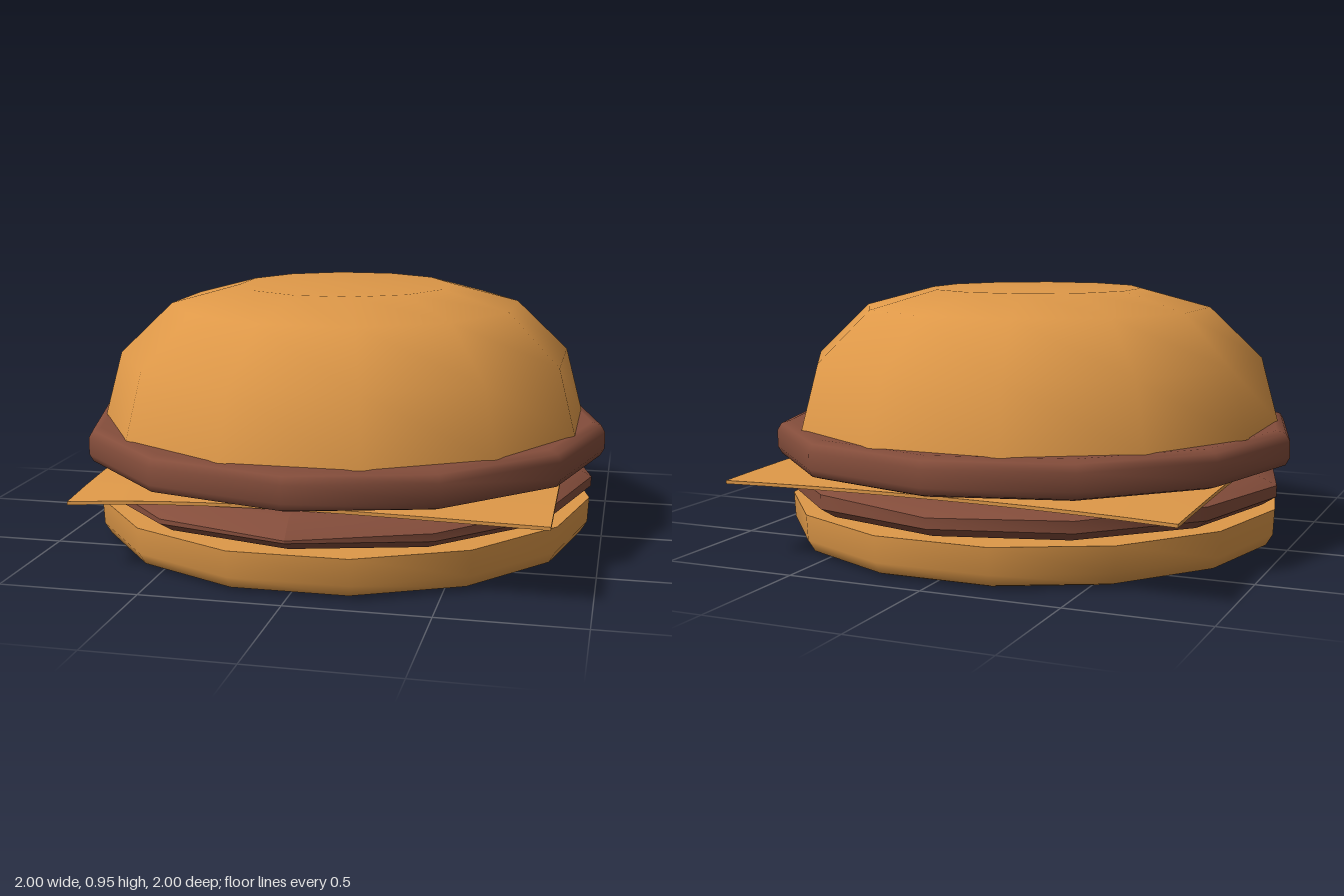
import * as THREE from 'three';

// Round part turned from a bottom-to-top profile; repeated points make a crease
function turned(name, profile, sides, turn, material) {
  const pts = profile.map(([r, y]) => new THREE.Vector2(r, y));
  const mesh = new THREE.Mesh(new THREE.LatheGeometry(pts, sides), material);
  mesh.geometry.rotateY(turn);
  mesh.name = name;
  return mesh;
}

export function createModel() {
  const bread = new THREE.MeshStandardMaterial({ color: 0xde9848 });
  const meat = new THREE.MeshStandardMaterial({ color: 0x844d3b });
  bread.name = 'toasted bun and cheese';
  meat.name = 'brown meat';
  const group = new THREE.Group();
  group.name = 'burger';

  // Bottom bun: flat base, rounded lower rim, upright side
  group.add(turned('bottomBun', [
    [0, 0.005], [0.88, 0.005], [0.88, 0.005], [0.92, 0.018], [0.945, 0.06],
    [0.95, 0.155], [0.95, 0.155], [0, 0.155],
  ], 14, Math.PI / 14, bread));

  // Thin lower patty with a pinched, slightly uneven rim
  const lower = turned('lowerPatty', [
    [0, 0.156], [0.86, 0.16], [0.9, 0.168], [0.955, 0.203], [0.955, 0.203],
    [0.955, 0.235], [0.955, 0.235], [0.89, 0.275], [0.78, 0.283], [0, 0.283],
  ], 12, 0, meat);
  const p = lower.geometry.attributes.position;
  for (let i = 0; i < p.count; i++) {
    const x = p.getX(i), z = p.getZ(i), y = p.getY(i);
    if (y > 0.22 && y < 0.25) p.setY(i, y + 0.01 * Math.sin(4 * x - 1) - 0.015 * z);
  }
  lower.geometry.computeVertexNormals();
  group.add(lower);

  // Cheese slice: a thin square stretched between four drooping corners
  const slice = new THREE.BoxGeometry(2, 0.012, 2, 10, 1, 10);
  const corners = [ // back left, back right, front left, front right as drawn in x
    [-0.845, 0.275, -0.885], [0.845, 0.28, -0.87], [-0.82, 0.253, 0.82], [0.86, 0.281, 0.86],
  ].map(c => new THREE.Vector3(...c));
  const s = slice.attributes.position;
  for (let i = 0; i < s.count; i++) {
    const u = s.getX(i), v = s.getZ(i), y = s.getY(i);
    const a = corners[0].clone().lerp(corners[1], (u + 1) / 2);
    const b = corners[2].clone().lerp(corners[3], (u + 1) / 2);
    a.lerp(b, (v + 1) / 2);
    const lift = Math.max(0, 1 - (u * u + v * v) / 2);
    s.setXYZ(i, a.x, a.y + y + (0.297 - a.y) * Math.min(1, lift * 1.5), a.z);
  }
  slice.computeVertexNormals();
  const cheese = new THREE.Mesh(slice, bread);
  cheese.name = 'cheeseSlice';
  group.add(cheese);

  // Wide upper patty with rounded rims
  group.add(turned('upperPatty', [
    [0, 0.312], [0.95, 0.312], [0.985, 0.323], [1, 0.35], [1, 0.412],
    [0.985, 0.439], [0.95, 0.45], [0, 0.45],
  ], 12, 0, meat));

  // Domed top bun with a flat crown
  group.add(turned('topBun', [
    [0, 0.448], [0.93, 0.448], [0.93, 0.448], [0.865, 0.69], [0.667, 0.88],
    [0.405, 0.95], [0, 0.952],
  ], 12, Math.PI / 12, bread));

  return group;
}
